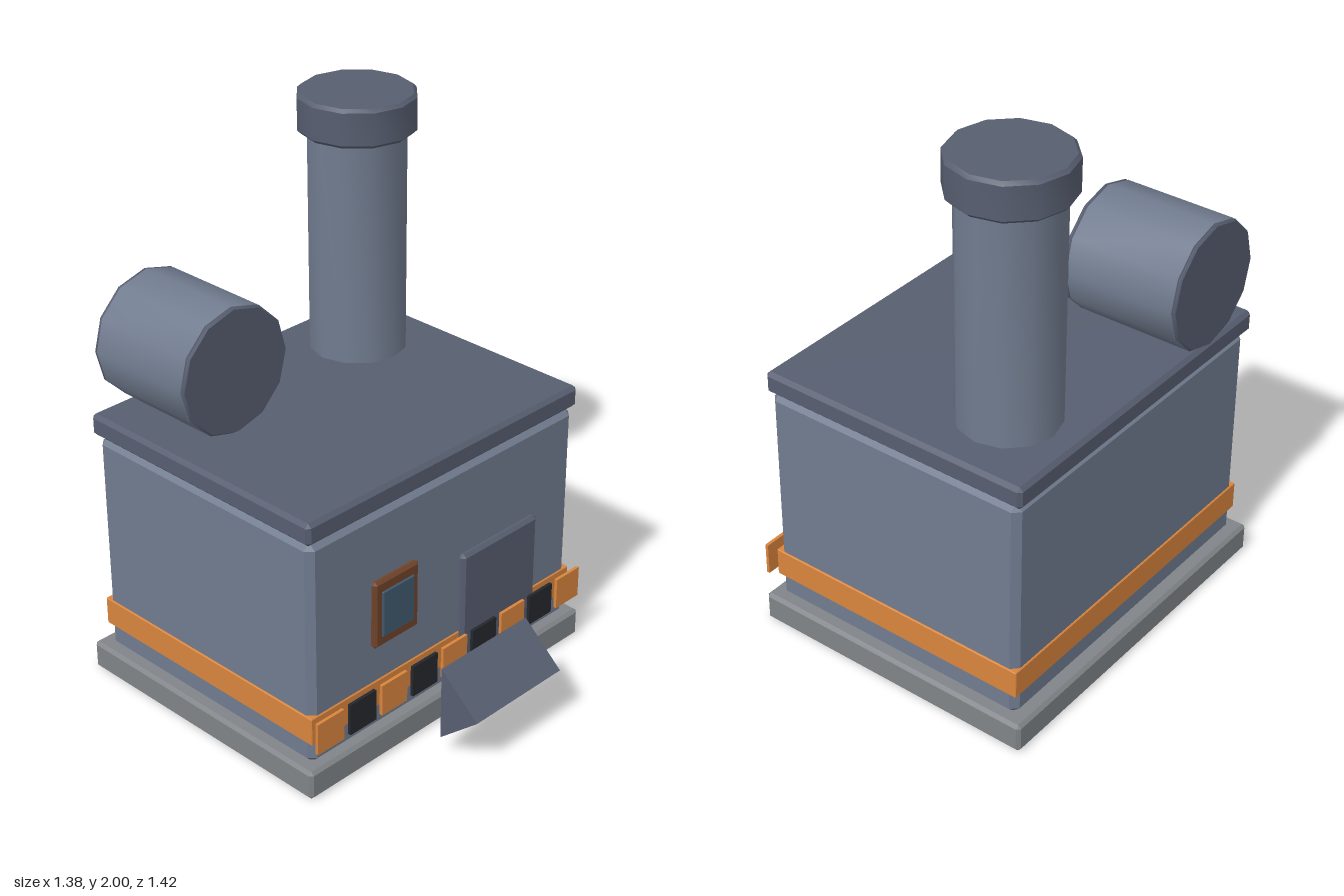
import * as THREE from 'three';
import { ConvexGeometry } from 'three/addons/geometries/ConvexGeometry.js';
import { toCreasedNormals } from 'three/addons/utils/BufferGeometryUtils.js';

const paint = (color) => new THREE.MeshStandardMaterial({ color });

// Box between two corners with every edge chamfered by c
function chamferBox([x0, y0, z0], [x1, y1, z1], c) {
  const size = [x1 - x0, y1 - y0, z1 - z0].map((s) => s / 2);
  const points = [];
  for (const sx of [-1, 1]) for (const sy of [-1, 1]) for (const sz of [-1, 1]) {
    for (let axis = 0; axis < 3; axis++) {
      const h = size.map((s, i) => (i === axis ? s : s - c));
      points.push(new THREE.Vector3(sx * h[0], sy * h[1], sz * h[2]));
    }
  }
  return new ConvexGeometry(points).translate((x0 + x1) / 2, (y0 + y1) / 2, (z0 + z1) / 2);
}

// Twelve-sided drum along y with chamfered rims
function drum(r, y0, y1, c) {
  const profile = [[0, y0], [r - c, y0], [r, y0 + c], [r, y1 - c], [r - c, y1], [0, y1]]
    .map(([x, y]) => new THREE.Vector2(x, y));
  return toCreasedNormals(new THREE.LatheGeometry(profile, 12), 0.6);
}

export function createModel() {
  const model = new THREE.Group();
  const wall = paint(0x717c8f), metal = paint(0x575e70), stone = paint(0x808488);
  const orange = paint(0xd9853d), black = paint(0x24272d);
  const brown = paint(0x70432a), glass = paint(0x41596d);

  const add = (name, geometry, material) => {
    const mesh = new THREE.Mesh(geometry, material);
    mesh.name = name;
    model.add(mesh);
    return mesh;
  };

  // Building shell
  add('foundation', chamferBox([-0.688, 0, -0.707], [0.688, 0.11, 0.407], 0.012), stone);
  add('walls', chamferBox([-0.647, 0.1, -0.66], [0.647, 0.955, 0.371], 0.025), wall);
  add('roof', chamferBox([-0.657, 0.957, -0.678], [0.657, 1.04, 0.378], 0.014), metal);
  add('safetyBand', chamferBox([-0.653, 0.192, -0.666], [0.653, 0.298, 0.376], 0.003), orange);

  // Door and window
  add('door', chamferBox([0.062, 0.1, 0.35], [0.447, 0.61, 0.393], 0.012), metal);
  add('windowFrame', chamferBox([-0.368, 0.437, 0.35], [-0.156, 0.696, 0.39], 0.01), brown);
  add('windowPane', chamferBox([-0.336, 0.477, 0.36], [-0.186, 0.655, 0.397], 0.003), glass);

  // Row of hazard plates across the front
  for (let i = 0; i < 9; i++) {
    const plate = add('hazardPlate', new THREE.BoxGeometry(0.122, 0.12, 0.012), i % 2 ? black : orange);
    plate.position.set((i - 4) * 0.151, 0.245, 0.412);
  }

  // Wedge-shaped chute in front of the building
  const wedge = new THREE.Shape([
    new THREE.Vector2(-0.548, 0.083), new THREE.Vector2(-0.548, 0.364), new THREE.Vector2(-0.71, 0.222),
  ]);
  const chute = new THREE.ExtrudeGeometry(wedge, { depth: 0.428, bevelEnabled: false });
  add('chute', chute.translate(0, 0, -0.214).rotateY(Math.PI / 2), metal);

  // Chimney
  const pipe = add('chimneyPipe', drum(0.178, 1.02, 1.88, 0.01), wall);
  const cap = add('chimneyCap', drum(0.212, 1.86, 2, 0.012), metal);
  for (const part of [pipe, cap]) part.position.set(0.364, 0, -0.409);

  // Tank lying on the roof, with dark end plates
  const tank = new THREE.Group();
  tank.name = 'tank';
  const tankPart = (name, z0, z1, c, material) => {
    const mesh = add(name, drum(0.232, z0, z1, c), material);
    mesh.rotation.x = Math.PI / 2;
    tank.add(mesh);
  };
  tankPart('tankBody', -0.664, -0.244, 0.001, wall);
  tankPart('tankRearPlate', -0.678, -0.664, 0.006, metal);
  tankPart('tankFrontPlate', -0.244, -0.228, 0.006, metal);
  tank.position.set(-0.391, 1.264, 0);
  model.add(tank);

  return model;
}
